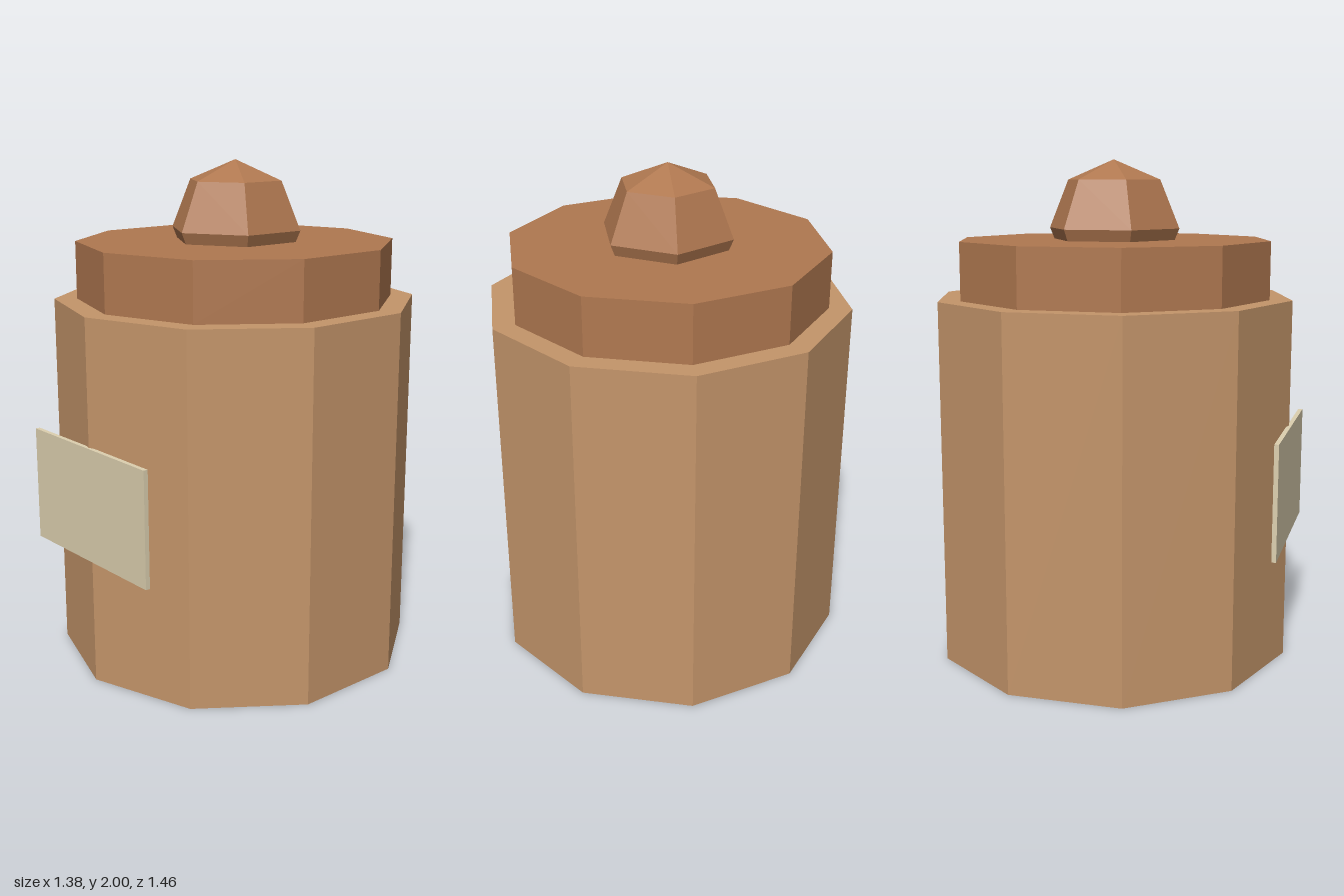
import * as THREE from 'three';

const CENTRE_Z = -0.005;

export function createModel() {
  const group = new THREE.Group();
  group.name = 'lidded jar';

  const material = (color) => new THREE.MeshStandardMaterial({ color, flatShading: true });
  const clay = material(0xc4956a);
  const darkClay = material(0xb07850);
  const paper = material(0xddd0b0);

  const add = (name, geometry, mat, y, z = CENTRE_Z) => {
    const mesh = new THREE.Mesh(geometry, mat);
    mesh.name = name;
    mesh.position.set(0, y, z);
    group.add(mesh);
    return mesh;
  };

  // Ten-sided jar body with a corner facing the front
  add('body', new THREE.CylinderGeometry(0.725, 0.725, 1.456, 10), clay, 0.728);

  // Narrower ten-sided lid
  add('lid', new THREE.CylinderGeometry(0.635, 0.635, 0.229, 10), darkClay, 1.5705);

  // Faceted knob, its lower half sunk into the lid
  const knob = add('knob', new THREE.SphereGeometry(0.27, 6, 4), darkClay, 1.73);
  knob.rotation.y = Math.PI / 2;

  // Thin blank label on the front corner
  add('label', new THREE.BoxGeometry(0.725, 0.455, 0.018), paper, 0.731, 0.721);

  return group;
}
